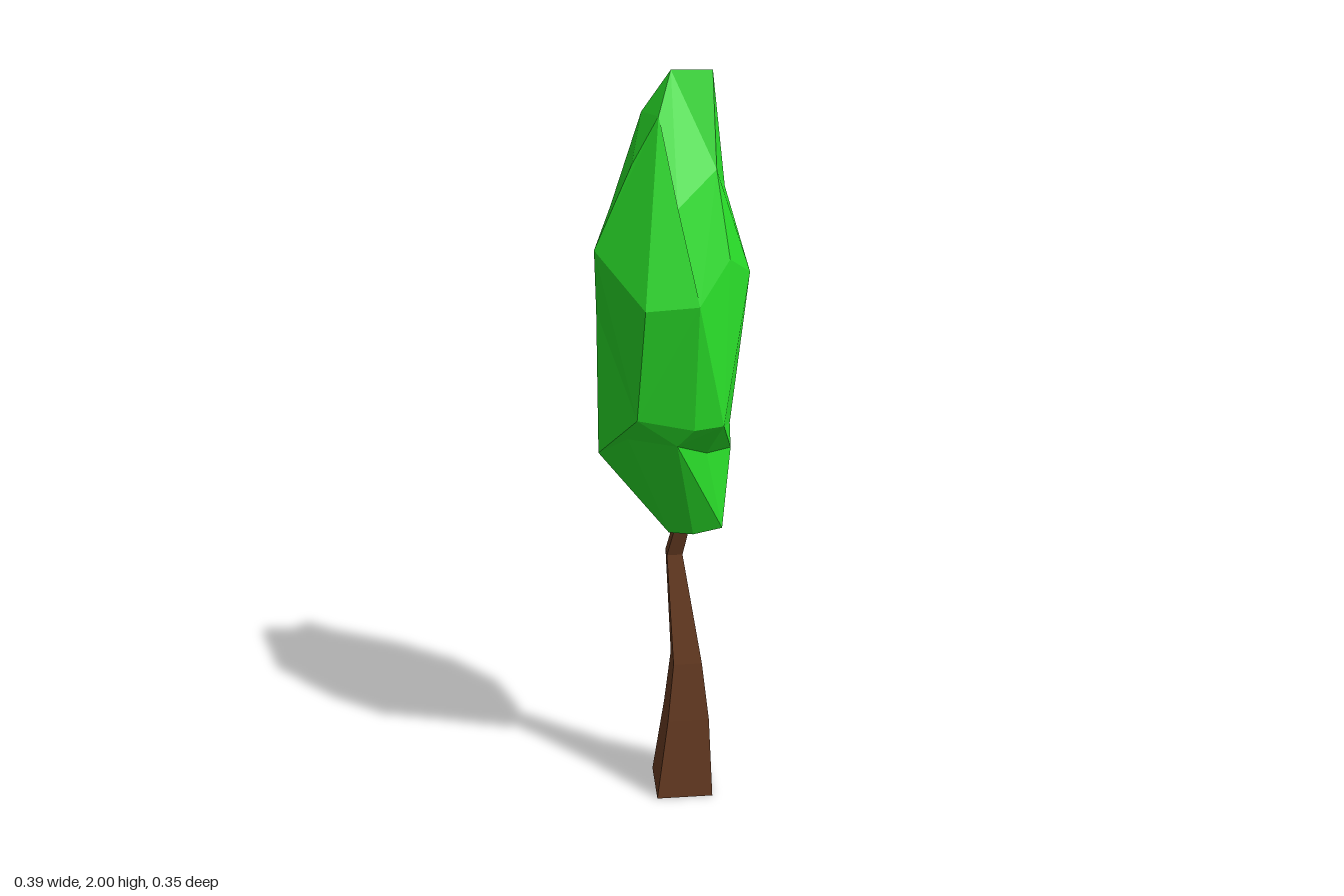
import * as THREE from 'three';

// Faceted closed skin through rings of [x, y, z] points (each ring runs from front towards +x)
function loft(rings, color, name) {
  const pos = [];
  const tri = (a, b, c) => {
    if (a !== b && b !== c && c !== a) pos.push(...a, ...b, ...c);
  };
  const n = rings[0].length;
  const centre = (ring) => [0, 1, 2].map((k) => ring.reduce((s, p) => s + p[k], 0) / n);
  const first = rings[0], last = rings[rings.length - 1];
  const bottom = centre(first), top = centre(last);
  for (let j = 0; j < n; j++) {
    const k = (j + 1) % n;
    for (let i = 0; i < rings.length - 1; i++) {
      const lo = rings[i], hi = rings[i + 1];
      // alternate the diagonal for irregular facets
      if ((i + j) % 2) {
        tri(lo[j], lo[k], hi[k]);
        tri(lo[j], hi[k], hi[j]);
      } else {
        tri(lo[j], lo[k], hi[j]);
        tri(lo[k], hi[k], hi[j]);
      }
    }
    tri(bottom, first[k], first[j]);
    tri(top, last[j], last[k]);
  }
  const geometry = new THREE.BufferGeometry();
  geometry.setAttribute('position', new THREE.Float32BufferAttribute(pos, 3));
  geometry.computeVertexNormals();
  const mesh = new THREE.Mesh(geometry, new THREE.MeshStandardMaterial({ color, flatShading: true }));
  mesh.name = name;
  return mesh;
}

// Square trunk section: centre x, height, centre z, half width
const square = (x, y, z, h) => [[x - h, y, z + h], [x + h, y, z + h], [x + h, y, z - h], [x - h, y, z - h]];

export function createModel() {
  const tree = new THREE.Group();
  tree.name = 'tree';

  // Crooked tapering trunk
  tree.add(loft([
    square(0.032, 0, -0.027, 0.078),
    square(0.043, 0.24, -0.022, 0.057),
    square(0.042, 0.41, -0.019, 0.039),
    square(0.011, 0.72, -0.05, 0.021),
    square(0.035, 0.84, -0.02, 0.019),
  ], 0x6b3e24, 'trunk'));

  // Underside, lower lobes, overhanging flap and creases, waist and shoulder of the crown
  const underside = [[0.05, 0.82, 0.06], [0.125, 0.84, 0.07], [0.11, 0.83, 0], [0.08, 0.81, -0.08],
    [0.03, 0.795, -0.1], [-0.01, 0.8, -0.09], [-0.02, 0.81, -0.03], [-0.01, 0.81, 0.02]];
  const lobes = [[0, 1.1, 0.14], [0.08, 1.06, 0.09], [0.15, 1.05, 0.03], [0.145, 1, -0.12],
    [0.08, 0.95, -0.175], [-0.09, 1.04, -0.135], [-0.19, 1.03, -0.015], [-0.12, 1.1, 0.075]];
  const overhang = [[0.04, 1.15, 0.165], [0.115, 1.155, 0.153], [0.146, 1.12, 0.035], [0.135, 1.2, -0.165],
    [0.02, 1.24, -0.158], [-0.09, 1.22, -0.145], [-0.187, 1.4, -0.05], [-0.1, 1.17, 0.135]];
  const waist = [[0.05, 1.47, 0.178], [0.13, 1.57, 0.115], [0.195, 1.51, 0.01], [0.125, 1.47, -0.15],
    [0.03, 1.52, -0.172], [-0.08, 1.5, -0.165], [-0.194, 1.58, 0.035], [-0.08, 1.46, 0.17]];
  const shoulder = [[0, 1.7, 0.14], [0.1, 1.78, 0.075], [0.139, 1.71, -0.065], [0.085, 1.76, -0.11],
    [0.02, 1.81, -0.15], [-0.145, 1.66, -0.09], [-0.1, 1.785, 0.03], [-0.035, 1.9, 0.035]];

  // Sharp ridge: two tips and a lower point shared by neighbouring facets
  const leftTip = [0.1, 2, -0.015], rightTip = [0, 2, -0.022], rightStep = [-0.07, 1.9, -0.04];
  const ridge = [rightTip, leftTip, leftTip, leftTip, leftTip, rightStep, rightStep, rightTip];
  tree.add(loft([underside, lobes, overhang, waist, shoulder, ridge], 0x2ae02a, 'foliage'));

  return tree;
}
